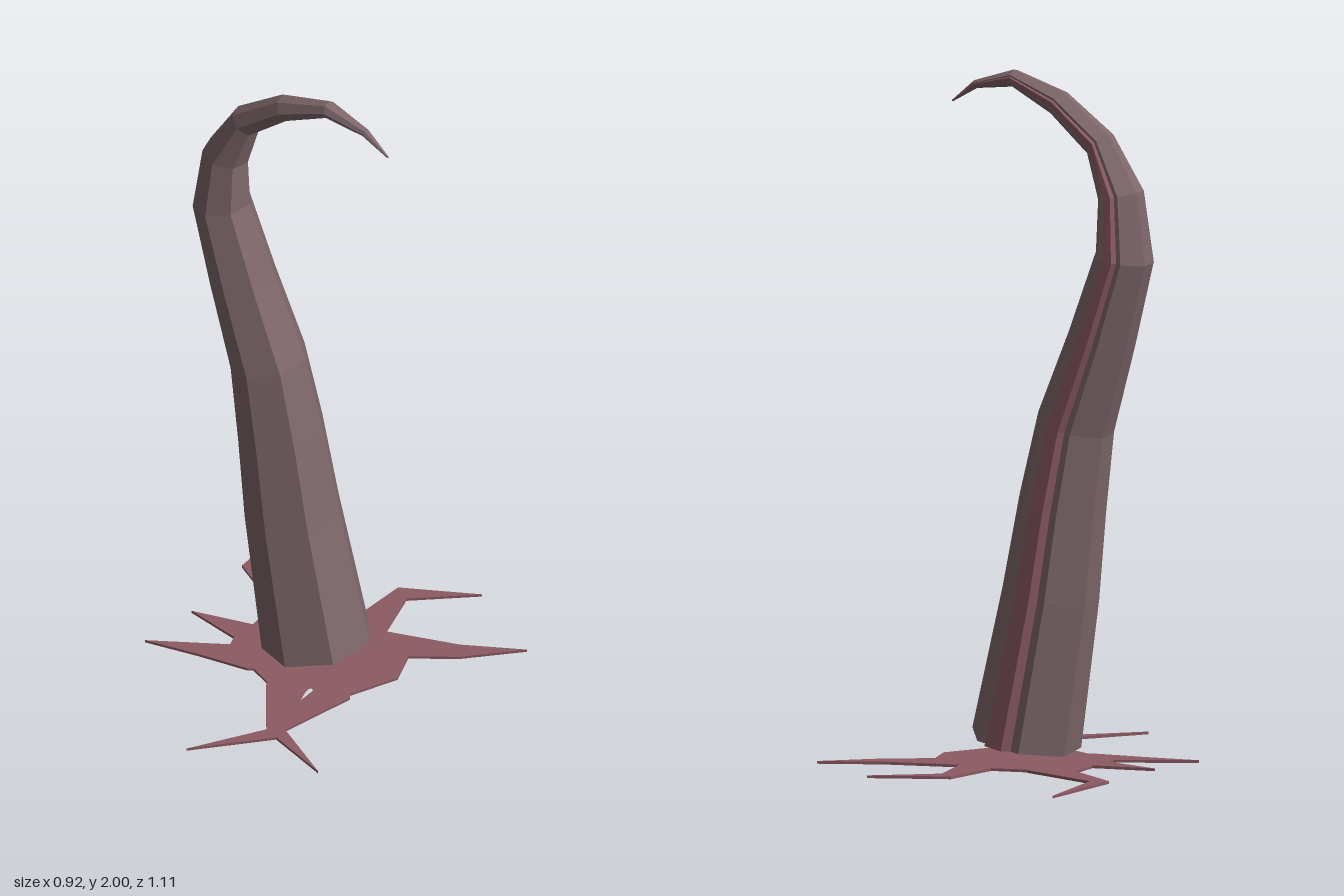
import * as THREE from 'three';

const skin = new THREE.MeshStandardMaterial({ color: 0x7f686c, flatShading: true });
skin.name = 'mauve skin';
const flesh = new THREE.MeshStandardMaterial({ color: 0x8c5a63, flatShading: true });
flesh.name = 'dark pink';

// Inner and outer edge of each ring in the x-y plane: [leftX, leftY, rightX, rightY]
const RINGS = [
  [-0.175, 0.03, 0.135, 0.09],
  [-0.24, 0.47, 0.035, 0.51],
  [-0.265, 0.72, -0.02, 0.78],
  [-0.295, 0.96, -0.08, 1.02],
  [-0.37, 1.22, -0.18, 1.26],
  [-0.435, 1.47, -0.27, 1.5],
  [-0.405, 1.68, -0.275, 1.65],
  [-0.305, 1.84, -0.235, 1.78],
  [-0.15, 1.95, -0.11, 1.885],
  [0.015, 2.0, 0.02, 1.95],
  [0.15, 1.957, 0.14, 1.935],
  [0.226, 1.893, 0.223, 1.889],
];
const CENTRE_Z = -0.035;

// Sweep a unit profile [u, v] through the rings, closing both ends
function loft(profile) {
  const n = profile.length;
  const pos = [];
  const index = [];
  for (const [lx, ly, rx, ry] of RINGS) {
    const hx = (rx - lx) / 1.95, hy = (ry - ly) / 1.95;
    const depth = Math.hypot(hx, hy) * 1.02;
    for (const [u, v] of profile) {
      pos.push((lx + rx) / 2 + u * hx, (ly + ry) / 2 + u * hy, CENTRE_Z + v * depth);
    }
  }
  const last = (RINGS.length - 1) * n;
  for (let i = 0; i < RINGS.length - 1; i++) {
    for (let j = 0; j < n; j++) {
      const a = i * n + j, b = i * n + (j + 1) % n;
      index.push(a, a + n, b, b, a + n, b + n);
    }
  }
  for (let j = 1; j < n - 1; j++) {
    index.push(0, j, j + 1, last, last + j + 1, last + j);
  }
  const g = new THREE.BufferGeometry();
  g.setAttribute('position', new THREE.Float32BufferAttribute(pos, 3));
  g.setIndex(index);
  const flat = g.toNonIndexed();
  flat.computeVertexNormals();
  return flat;
}

// Flat jagged crack patch, outline given as [x, z]
function crackGeometry() {
  const outline = [
    [-0.435, -0.555], [-0.39, -0.28], [-0.14, -0.21], [-0.13, -0.203], [-0.03, -0.235],
    [-0.01, -0.42], [0.205, -0.53], [0.04, -0.39], [0.08, -0.23], [0.29, -0.3],
    [0.46, -0.39], [0.32, -0.25], [0.2, -0.17], [0.233, -0.07], [0.165, 0.07],
    [0.175, 0.085], [0.11, 0.315], [0.3, 0.423], [0.11, 0.36], [-0.07, 0.55],
    [0.065, 0.345], [-0.055, 0.175], [-0.06, 0.16], [-0.13, 0.13], [-0.145, 0.14],
    [-0.3, 0.165], [-0.46, 0.198], [-0.25, 0.075], [-0.26, 0.04], [-0.43, 0.008],
    [-0.25, -0.04], [-0.26, -0.15], [-0.435, -0.25],
  ];
  const hole = [[0.055, 0.12], [0.06, 0.113], [0.07, 0.118], [0.067, 0.175], [0.058, 0.145]];
  const flip = (pts) => pts.map(([x, z]) => new THREE.Vector2(x, -z));
  const shape = new THREE.Shape(flip(outline));
  shape.holes.push(new THREE.Path(flip(hole)));
  const g = new THREE.ExtrudeGeometry(shape, { depth: 0.008, bevelEnabled: false });
  return g.rotateX(-Math.PI / 2);
}

export function createModel() {
  const model = new THREE.Group();
  model.name = 'tentacle';
  const add = (name, geometry, material) => {
    const mesh = new THREE.Mesh(geometry, material);
    mesh.name = name;
    model.add(mesh);
  };

  // Seven-sided arm with one corner facing front
  const heptagon = [];
  for (let i = 0; i < 7; i++) {
    const a = Math.PI / 2 + (i * Math.PI * 2) / 7;
    heptagon.push([Math.cos(a), Math.sin(a)]);
  }
  add('arm', loft(heptagon), skin);

  // Raised strip along the back
  add('backStrip', loft([[-0.3, -0.85], [-0.17, -1.07], [0.17, -1.07], [0.3, -0.85]]), flesh);

  // Ground patch
  add('groundCrack', crackGeometry(), flesh);
  return model;
}
